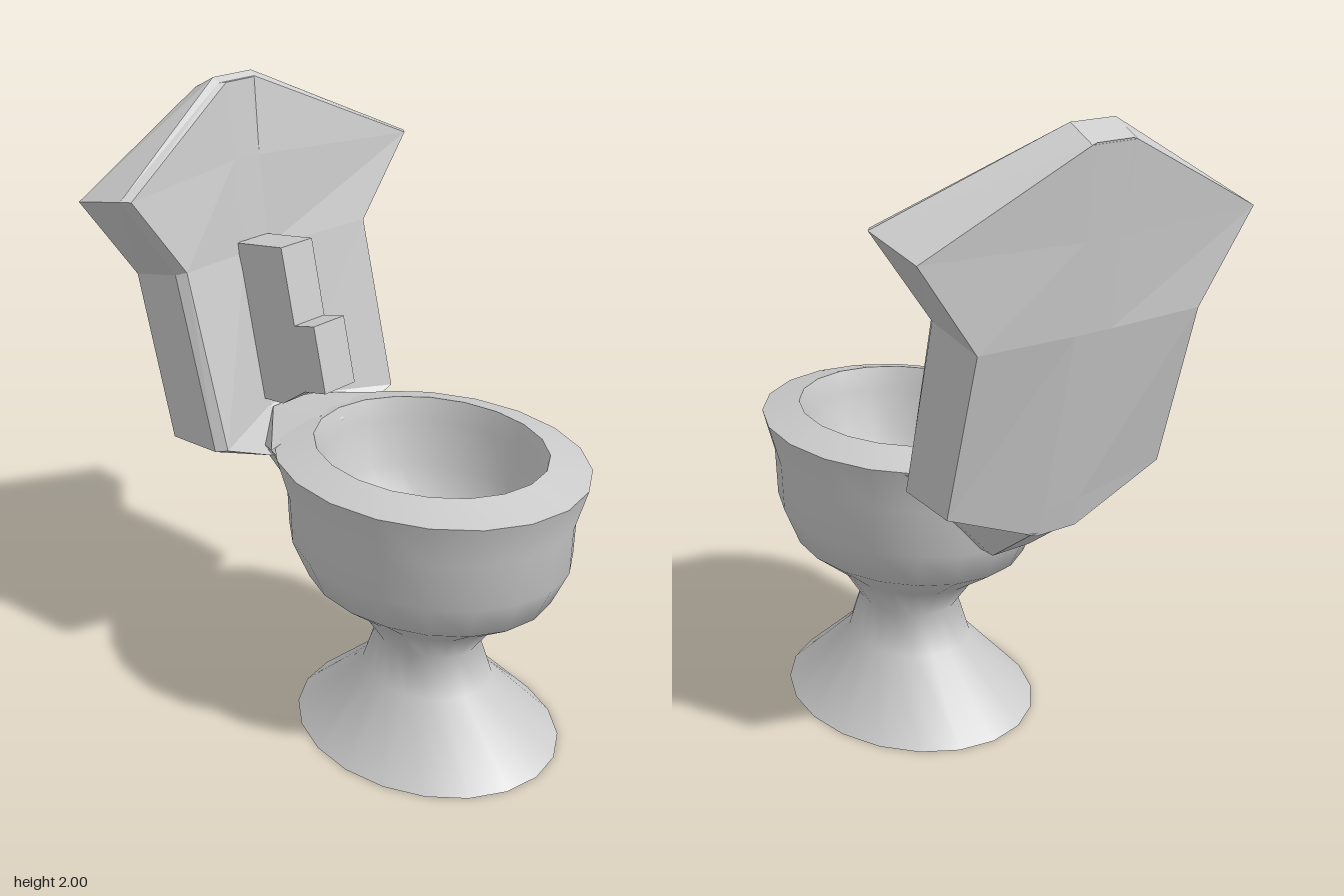
import * as THREE from 'three';
import { toCreasedNormals } from 'three/addons/utils/BufferGeometryUtils.js';
import { ConvexGeometry } from 'three/addons/geometries/ConvexGeometry.js';

const smooth = new THREE.MeshStandardMaterial({ color: 0xcccccc });
const flat = new THREE.MeshStandardMaterial({ color: 0xcccccc, flatShading: true });

function addPart(parent, name, geometry, material) {
  const mesh = new THREE.Mesh(geometry, material);
  mesh.name = name;
  parent.add(mesh);
  return mesh;
}

// Skin a stack of closed cross-sections (top to bottom) and cap both ends.
function loft(sections) {
  const n = sections[0].length;
  const index = [];
  for (let r = 0; r < sections.length - 1; r++) {
    for (let i = 0; i < n; i++) {
      const a = r * n + i, b = r * n + (i + 1) % n;
      index.push(a, a + n, b, b, a + n, b + n);
    }
  }
  const last = (sections.length - 1) * n;
  for (let i = 0; i < n / 2 - 1; i++) {
    // quads between mirrored points
    const a = i, b = i + 1, c = n - 2 - i, d = n - 1 - i;
    index.push(a, b, c, a, c, d);
    index.push(last + a, last + c, last + b, last + a, last + d, last + c);
  }
  const g = new THREE.BufferGeometry();
  g.setAttribute('position', new THREE.Float32BufferAttribute(sections.flat(2), 3));
  g.setIndex(index);
  const out = g.toNonIndexed();
  out.computeVertexNormals();
  return out;
}

export function createModel() {
  const model = new THREE.Group();
  model.name = 'pedestalSeat';

  // Oval pedestal and hollow bowl, turned in one profile
  const profile = [
    [0, 0], [0.46, 0], [0.225, 0.21], [0.18, 0.34], [0.26, 0.45], [0.42, 0.56],
    [0.475, 0.68], [0.48, 0.83], [0.52, 0.965], [0.385, 1.0],
    [0.36, 0.93], [0.34, 0.78], [0.25, 0.64], [0.12, 0.57], [0, 0.55],
  ].map(([r, y]) => new THREE.Vector2(r, y));
  const bowlGeometry = new THREE.LatheGeometry(profile, 20);
  bowlGeometry.scale(1, 1, 0.825);
  const bowl = addPart(model, 'pedestalBowl', toCreasedNormals(bowlGeometry, 1.05), smooth);
  bowl.position.set(0.18, 0, -0.03);

  // Tapered tail joining the bowl rim to the backrest
  const tailPoints = [];
  for (const s of [-1, 1]) {
    for (const [x, y, z] of [
      [-0.19, 0.965, 0.3], [-0.24, 0.965, 0.25], [-0.42, 0.965, 0.075], [-0.21, 0.995, 0.07],
      [-0.51, 0.82, 0.07], [-0.34, 0.69, 0.07], [-0.2, 0.69, 0.07],
    ]) tailPoints.push(new THREE.Vector3(x, y, s * z - 0.02));
  }
  addPart(model, 'bowlTail', new ConvexGeometry(tailPoints), flat);

  // Backrest half-sections: back middle, back edge, front edge, bevel, front middle
  const halves = [
    [[-0.705, 1.96, 0.06], [-0.705, 1.955, 0.075], [-0.615, 2, 0.075], [-0.595, 1.985, 0.07], [-0.585, 1.985, 0.05]],
    [[-0.675, 1.7, 0.06], [-0.65, 1.71, 0.565], [-0.44, 1.755, 0.57], [-0.415, 1.755, 0.55], [-0.56, 1.75, 0.05]],
    [[-0.645, 1.44, 0.06], [-0.645, 1.445, 0.38], [-0.45, 1.49, 0.385], [-0.42, 1.5, 0.365], [-0.53, 1.46, 0.05]],
    [[-0.53, 0.9, 0.06], [-0.51, 0.94, 0.38], [-0.31, 0.955, 0.38], [-0.28, 0.96, 0.355], [-0.43, 0.97, 0.05]],
    [[-0.51, 0.81, 0.06], [-0.51, 0.81, 0.07], [-0.31, 0.83, 0.07], [-0.3, 0.83, 0.07], [-0.32, 0.83, 0.05]],
  ];
  const sections = halves.map((half) => [
    ...half,
    ...half.slice().reverse().map(([x, y, z]) => [x, y, -z]),
  ]);
  const backrest = addPart(model, 'backrest', loft(sections), flat);
  backrest.rotation.y = -0.03;
  backrest.position.z = 0.02;

  // Stepped block on the front of the backrest
  const step = new THREE.Shape([
    [-0.53, 1.5], [-0.44, 1.0], [-0.34, 1.01], [-0.24, 1.08], [-0.15, 1.1],
    [-0.195, 1.31], [-0.28, 1.29], [-0.33, 1.53],
  ].map(([x, y]) => new THREE.Vector2(x, y)));
  const block = addPart(model, 'steppedBlock',
    new THREE.ExtrudeGeometry(step, { depth: 0.13, bevelEnabled: false }), flat);
  block.position.z = -0.045;

  return model;
}
